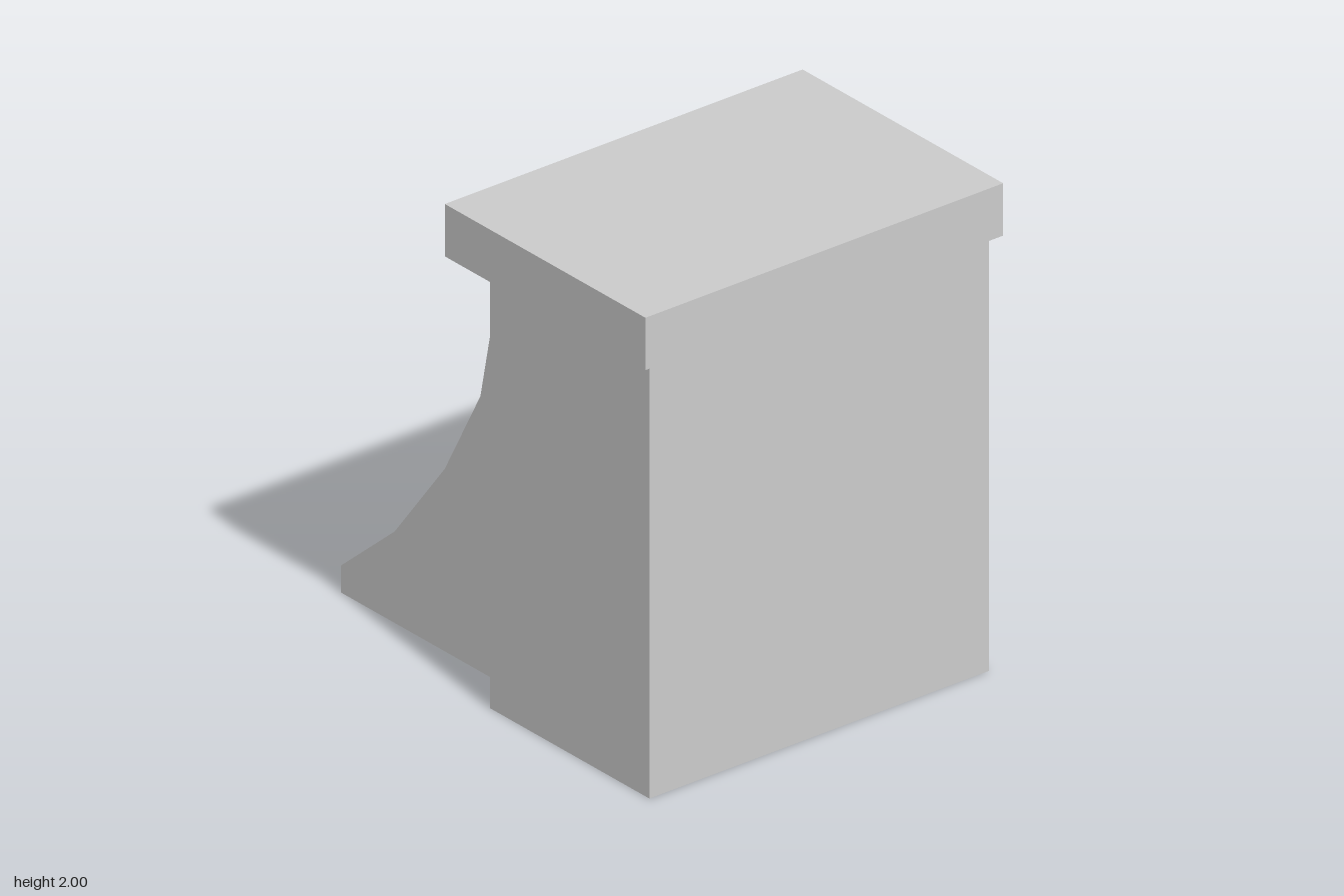
import * as THREE from 'three';

const material = new THREE.MeshStandardMaterial({ color: 0xcccccc, flatShading: true });
const BODY_TOP = 1.785, LEG_INNER = 0.413, LEG_OUTER = 0.642;

const shapeOf = (points) => new THREE.Shape(points.map(([a, b]) => new THREE.Vector2(a, b)));

// Extrudes a [z, y] side profile across x from x0 to x1
function sideExtrusion(name, profile, x0, x1) {
  const shape = shapeOf(profile.map(([z, y]) => [-z, y]));
  const geometry = new THREE.ExtrudeGeometry(shape, { depth: x1 - x0, bevelEnabled: false });
  geometry.rotateY(Math.PI / 2).translate(x0, 0, 0);
  const mesh = new THREE.Mesh(geometry, material);
  mesh.name = name;
  return mesh;
}

export function createModel() {
  const group = new THREE.Group();
  group.name = 'buttressedPedestal';

  // Body: plan outline with a stepped recess open to the back
  const half = [[0.797, 0.97], [0.797, 0.05], [LEG_INNER, 0.05], [LEG_INNER, 0.615], [0.25, 0.615], [0.25, 0.745]];
  const mirrored = half.map(([x, z]) => [-x, z]).reverse();
  const plan = shapeOf([...half, ...mirrored].map(([x, z]) => [x, -z]));
  const bodyGeometry = new THREE.ExtrudeGeometry(plan, { depth: BODY_TOP, bevelEnabled: false });
  bodyGeometry.rotateX(-Math.PI / 2);
  const body = new THREE.Mesh(bodyGeometry, material);
  body.name = 'body';
  group.add(body);

  // Curved buttress legs behind the body
  const legProfile = [
    [0.05, 0], [-1, 0], [-1, 0.11], [-0.69, 0.375], [-0.4, 0.75],
    [-0.195, 1.13], [-0.06, BODY_TOP], [0.05, BODY_TOP],
  ];
  group.add(sideExtrusion('leftLeg', legProfile, LEG_INNER, LEG_OUTER));
  group.add(sideExtrusion('rightLeg', legProfile, -LEG_OUTER, -LEG_INNER));

  // Apron closing the recess at the top, its back sloping with the legs
  const apronProfile = [[0.75, 1.655], [-0.087, 1.655], [-0.06, BODY_TOP], [0.75, BODY_TOP]];
  group.add(sideExtrusion('apron', apronProfile, -LEG_INNER, LEG_INNER));

  // Overhanging top slab
  const top = new THREE.Mesh(new THREE.BoxGeometry(1.68, 2 - BODY_TOP, 1.157), material);
  top.name = 'topSlab';
  top.position.set(0, (2 + BODY_TOP) / 2, 0.4215);
  group.add(top);

  return group;
}
